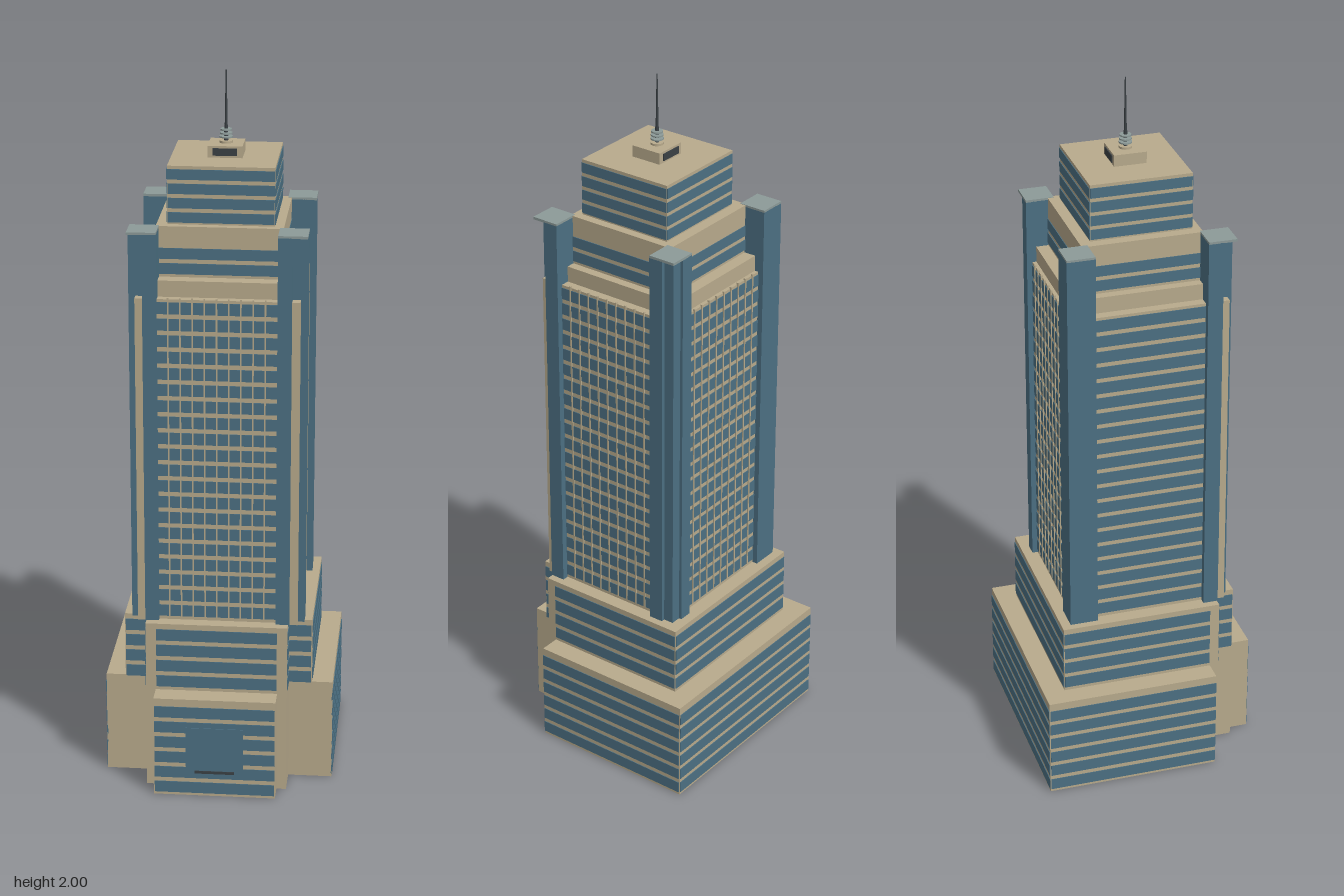
import * as THREE from 'three';
import { mergeGeometries } from 'three/addons/utils/BufferGeometryUtils.js';

const stone = new THREE.MeshStandardMaterial({ color: 0xb8aa8c });
const glass = new THREE.MeshStandardMaterial({ color: 0x4c7083 });
const capTint = new THREE.MeshStandardMaterial({ color: 0x8c9a98 });
const dark = new THREE.MeshStandardMaterial({ color: 0x3a4044 });

// Box given by its limits on each axis
function boxGeo(x0, x1, y0, y1, z0, z1) {
  return new THREE.BoxGeometry(x1 - x0, y1 - y0, z1 - z0)
    .translate((x0 + x1) / 2, (y0 + y1) / 2, (z0 + z1) / 2);
}

export function createModel() {
  const model = new THREE.Group();

  function add(name, material, geos) {
    const mesh = new THREE.Mesh(Array.isArray(geos) ? mergeGeometries(geos) : geos, material);
    mesh.name = name;
    model.add(mesh);
    return mesh;
  }
  const block = (name, material, ...limits) => add(name, material, boxGeo(...limits));

  // Thin plate on a wall; side is 'x' or 'z', dir its sign, u the extent along the wall
  function plate(side, dir, plane, u0, u1, y0, y1, t) {
    const a = Math.min(plane - dir * 0.002, plane + dir * t);
    const b = Math.max(plane - dir * 0.002, plane + dir * t);
    return side === 'z' ? boxGeo(u0, u1, y0, y1, a, b) : boxGeo(a, b, y0, y1, u0, u1);
  }

  // Rows of ribbon windows, with optional vertical mullions
  function facade(name, side, dir, plane, u0, u1, y0, y1, rows, mullions = 0) {
    const pitch = (y1 - y0) / rows;
    const panes = [];
    for (let i = 0; i < rows; i++) {
      const y = y0 + i * pitch;
      panes.push(plate(side, dir, plane, u0, u1, y, y + pitch * 0.72, 0.002));
    }
    add(name + 'Windows', glass, panes);
    if (!mullions) return;
    const bars = [];
    for (let i = 1; i < mullions; i++) {
      const u = u0 + (u1 - u0) * i / mullions;
      bars.push(plate(side, dir, plane, u - 0.002, u + 0.002, y0, y1, 0.004));
    }
    add(name + 'Mullions', stone, bars);
  }

  // Base
  block('base', stone, -0.32, 0.32, 0, 0.295, -0.32, 0.17);
  block('entranceBlock', stone, -0.17, 0.17, 0, 0.295, 0.16, 0.318);
  facade('baseBack', 'z', -1, -0.32, -0.318, 0.318, 0.008, 0.285, 6);
  facade('baseLeft', 'x', 1, 0.32, -0.318, 0.17, 0.008, 0.285, 6);
  facade('baseRight', 'x', -1, -0.32, -0.318, 0.17, 0.008, 0.285, 6);
  facade('entrance', 'z', 1, 0.318, -0.168, 0.168, 0.008, 0.285, 6);
  block('entrancePanel', glass, -0.08, 0.08, 0.08, 0.21, 0.31, 0.322);
  block('entranceCanopy', dark, -0.055, 0.055, 0.07, 0.078, 0.315, 0.322);

  // Podium
  block('podium', stone, -0.262, 0.262, 0.29, 0.495, -0.26, 0.195);
  block('podiumFront', stone, -0.197, 0.197, 0, 0.495, 0.16, 0.258);
  facade('podiumBack', 'z', -1, -0.26, -0.26, 0.26, 0.305, 0.492, 4);
  facade('podiumFront', 'z', 1, 0.258, -0.168, 0.168, 0.305, 0.492, 4);
  for (const s of [-1, 1]) {
    facade('podiumSide', 'x', s, 0.262 * s, -0.258, 0.168, 0.305, 0.492, 4);
    facade('podiumBaySide', 'x', s, 0.197 * s, 0.198, 0.256, 0.305, 0.492, 4);
    facade('podiumWing', 'z', 1, 0.195, s > 0 ? 0.199 : -0.26, s > 0 ? 0.26 : -0.199, 0.305, 0.492, 4);
  }

  // Tower shaft, whose corners show as stone strips in the column notches
  block('towerShaft', stone, -0.222, 0.222, 0.49, 1.425, -0.218, 0.222);
  facade('towerFront', 'z', 1, 0.222, -0.165, 0.162, 0.505, 1.43, 20, 10);
  facade('towerBack', 'z', -1, -0.218, -0.165, 0.162, 0.505, 1.43, 20, 10);
  facade('towerLeft', 'x', 1, 0.222, -0.155, 0.156, 0.505, 1.43, 20, 10);
  facade('towerRight', 'x', -1, -0.222, -0.155, 0.156, 0.505, 1.43, 20);

  // Setback ledge and shoulder
  block('ledge', stone, -0.195, 0.197, 1.42, 1.47, -0.207, 0.2);
  block('shoulder', stone, -0.17, 0.172, 1.46, 1.61, -0.172, 0.163);
  facade('shoulderFront', 'z', 1, 0.163, -0.165, 0.162, 1.478, 1.562, 2);
  facade('shoulderBack', 'z', -1, -0.172, -0.165, 0.162, 1.478, 1.562, 2);
  facade('shoulderLeft', 'x', 1, 0.172, -0.155, 0.156, 1.478, 1.562, 2);
  facade('shoulderRight', 'x', -1, -0.17, -0.155, 0.156, 1.478, 1.562, 2);

  // Corner columns, notched on the outer corner, under square caps
  for (const sx of [-1, 1]) for (const sz of [-1, 1]) {
    const span = (s, a, b) => (s > 0 ? [a, b] : [-b, -a]);
    const outerX = span(sx, 0.162, 0.241), innerX = span(sx, 0.162, 0.2);
    const outerZ = span(sz, 0.155, 0.234), innerZ = span(sz, 0.155, 0.197);
    const parts = [
      boxGeo(...outerX, 0.49, 1.605, ...innerZ),
      boxGeo(...innerX, 0.49, 1.605, ...outerZ),
    ];
    // The back columns carry glass in the notch
    if (sz < 0) {
      const fill = sx < 0 ? [0.241, 0.234] : [0.23, 0.226];
      parts.push(boxGeo(...span(sx, 0.19, fill[0]), 0.49, 1.605, ...span(sz, 0.19, fill[1])));
    }
    add('cornerColumn', glass, parts);
    block('columnCap', capTint, ...outerX, 1.604, 1.611, ...outerZ);
  }

  // Crown
  block('crown', stone, -0.141, 0.147, 1.6, 1.77, -0.141, 0.141);
  for (const s of [-1, 1]) {
    facade('crownFace', 'z', s, 0.141 * s, -0.14, 0.146, 1.615, 1.772, 4);
    facade('crownSide', 'x', s, s > 0 ? 0.147 : -0.141, -0.14, 0.14, 1.615, 1.772, 4);
  }

  // Rooftop plant room with louvres
  block('plantRoom', stone, -0.042, 0.052, 1.765, 1.802, -0.045, 0.045);
  for (const s of [-1, 1]) {
    add('louvre', dark, plate('z', s, 0.045 * s, -0.028, 0.037, 1.776, 1.796, 0.003));
  }

  // Antenna with stacked discs
  const round = (name, material, r0, r1, y0, y1) =>
    add(name, material, new THREE.CylinderGeometry(r1, r0, y1 - y0, 16).translate(0.004, (y0 + y1) / 2, 0));
  round('antennaBase', stone, 0.018, 0.018, 1.8, 1.808);
  for (let i = 0; i < 3; i++) round('antennaDisc', capTint, 0.018 - i * 0.001, 0.018 - i * 0.001, 1.816 + i * 0.01, 1.82 + i * 0.01);
  round('antennaStem', dark, 0.006, 0.005, 1.8, 1.85);
  round('antennaMast', dark, 0.004, 0.0015, 1.85, 2);

  return model;
}
